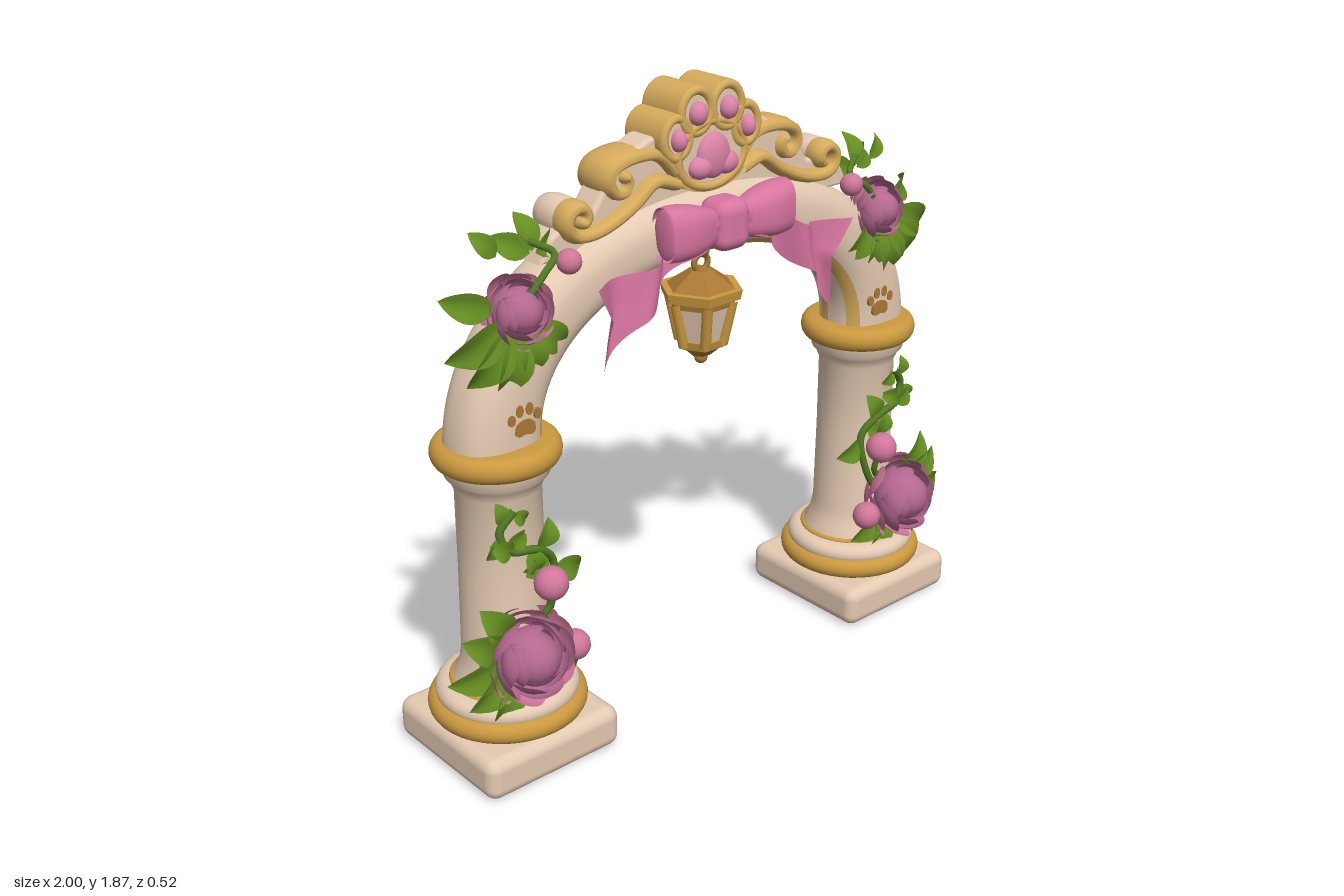
import * as THREE from 'three';
import { toCreasedNormals } from 'three/addons/utils/BufferGeometryUtils.js';
import { RoundedBoxGeometry } from 'three/addons/geometries/RoundedBoxGeometry.js';

const V = (x, y, z = 0) => new THREE.Vector3(x, y, z);
const COL = 0.715, ZC = -0.03; // pillar axis

export function createModel() {
  const root = new THREE.Group();
  const mat = (name, color, side = THREE.FrontSide) => {
    const m = new THREE.MeshStandardMaterial({ color, side });
    m.name = name;
    return m;
  };
  const cream = mat('cream stone', 0xe4cab2);
  const gold = mat('gold trim', 0xcb993f);
  const crestGold = mat('pale gold', 0xd6ab5c);
  const bronze = mat('bronze', 0xaa7834);
  const bowPink = mat('ribbon pink', 0xd8759f, THREE.DoubleSide);
  const padPink = mat('pad pink', 0xdb83a8);
  const petalDark = mat('inner petal', 0xb4688f, THREE.DoubleSide);
  const petalLight = mat('outer petal', 0xd07799, THREE.DoubleSide);
  const green = mat('leaf green', 0x658e22, THREE.DoubleSide);
  const stem = mat('stem green', 0x4f7a22);

  const add = (parent, name, geo, material, x = 0, y = 0, z = 0) => {
    const m = new THREE.Mesh(geo, material);
    m.name = name;
    m.position.set(x, y, z);
    parent.add(m);
    return m;
  };
  const group = (name) => {
    const g = new THREE.Group();
    g.name = name;
    root.add(g);
    return g;
  };
  const lathe = (pts, n = 40) =>
    toCreasedNormals(new THREE.LatheGeometry(pts.map((p) => new THREE.Vector2(...p)), n), 0.7);
  const curve = (pts, closed = false) => new THREE.CatmullRomCurve3(pts, closed);
  const tube = (pts, r, n = 40, closed = false) => new THREE.TubeGeometry(curve(pts, closed), n, r, 10, closed);
  // Grid surface from a rule f(u, v) -> Vector3
  const surface = (nu, nv, f) => {
    const g = new THREE.PlaneGeometry(1, 1, nu, nv), p = g.attributes.position;
    for (let i = 0; i < p.count; i++) {
      const q = f(p.getX(i) + 0.5, p.getY(i) + 0.5);
      p.setXYZ(i, q.x, q.y, q.z);
    }
    g.computeVertexNormals();
    return g;
  };

  // Rounded ring profile about a height
  const ringProfile = (r, y, h, bulge) => {
    const pts = [[r * 0.6, y - h]];
    for (let i = 0; i <= 8; i++) {
      const a = (i / 8 - 0.5) * Math.PI;
      pts.push([r - bulge + bulge * Math.cos(a), y + h * Math.sin(a)]);
    }
    return lathe([...pts, [r * 0.6, y + h]]);
  };

  // Pillars
  for (const s of [-1, 1]) {
    const g = group(s > 0 ? 'leftPillar' : 'rightPillar');
    g.position.set(s * COL, 0, ZC);
    add(g, 'plinth', new RoundedBoxGeometry(0.465, 0.13, 0.48, 4, 0.038), cream, 0, 0.065);
    add(g, 'baseRing', ringProfile(0.233, 0.158, 0.033, 0.03), gold);
    add(g, 'baseStep', ringProfile(0.21, 0.2, 0.033, 0.035), cream);
    add(g, 'footLine', ringProfile(0.168, 0.234, 0.008, 0.01), gold);
    add(g, 'shaft', lathe([[0.162, 0.22], [0.155, 0.25], [0.138, 0.28], [0.128, 0.33], [0.123, 0.6], [0.122, 0.84],
      [0.135, 0.87], [0.148, 0.885], [0.15, 0.925]]), cream);
    add(g, 'capitalRing', ringProfile(0.184, 0.951, 0.036, 0.03), gold);
  }

  // Arch: superelliptic sections swept along a flattened half ring
  const spow = (v, e) => Math.sign(v) * Math.abs(v) ** e;
  const path = (a) => V(0.727 * spow(Math.cos(a), 0.92), 0.955 + 0.515 * spow(Math.sin(a), 0.92));
  const archPart = (f0, f1, nf) => surface(72, nf, (u, v) => {
    const a = Math.PI * (1 - u), f = Math.PI + f0 + (f1 - f0) * v;
    const t = path(Math.min(a + 0.01, Math.PI)).sub(path(Math.max(a - 0.01, 0))).normalize();
    const r = (0.135 - 0.03 * Math.sin(a)) * spow(Math.cos(f), 0.8);
    return path(a).add(V(t.y * r, -t.x * r, ZC + 0.113 * spow(Math.sin(f), 0.8)));
  });
  // section angles run from the inner edge: positive to the back, negative to the front
  const arch = group('arch');
  add(arch, 'archBody', archPart(-0.85, 0.32 - 2 * Math.PI, 44), cream);
  add(arch, 'frontStripe', archPart(-0.42, -0.85, 6), crestGold);
  add(arch, 'archSoffit', archPart(0.08, -0.42, 6), cream);
  add(arch, 'backStripe', archPart(0.32, 0.08, 4), crestGold);

  // Painted paw prints on both faces of the arch feet
  for (const s of [-1, 1]) for (const z of [0.081, -0.141]) {
    const g = group('pawPrint');
    g.position.set(s * 0.694, 1.06, z);
    const dot = (x, y, rx, ry) => {
      const c = new THREE.CylinderGeometry(1, 1, 0.009, 20).rotateX(Math.PI / 2).scale(rx, ry, 1);
      add(g, 'pawDot', c, bronze, x, y);
    };
    dot(0, -0.015, 0.033, 0.022);
    for (const k of [-1, 1]) {
      dot(k * 0.017, -0.025, 0.017, 0.015);
      dot(k * 0.016, 0.035, 0.012, 0.018);
      dot(k * 0.043, 0.014, 0.012, 0.016);
    }
  }

  // Crest: cream backing, gold scrolls and paw emblem
  const crest = group('crest');
  const CZ = -0.02;
  const edge = [[0.57, 1.47], [0.54, 1.52], [0.49, 1.55], [0.4, 1.56], [0.355, 1.62], [0.3, 1.68], [0.2, 1.73]];
  const outline = [...edge, ...edge.map(([x, y]) => [-x, y]).reverse()].map((p) => new THREE.Vector2(...p));
  const backing = new THREE.ExtrudeGeometry(new THREE.Shape(outline), { depth: 0.07, bevelSize: 0.012, bevelThickness: 0.015, bevelSegments: 3 });
  add(crest, 'backing', backing, cream, 0, 0, CZ - 0.035);
  for (const s of [-1, 1]) {
    // a swept stem that ends in a spiral curl about (cx, cy)
    const scroll = (name, stemPts, cx, cy, from, turn, r, depth, z, m) => {
      const c = stemPts.map(([x, y]) => V(s * x, y));
      for (let i = 0; i <= 9; i++) {
        const a = from + turn * i / 9, d = 0.05 - 0.0036 * i;
        c.push(V(s * (cx + d * Math.cos(a)), cy + d * Math.sin(a)));
      }
      add(crest, name, tube(c, r, 70).scale(1, 1, depth / r), m, 0, 0, z);
      const e = c[c.length - 1];
      add(crest, 'scrollEnd', new THREE.SphereGeometry(r, 16, 12).scale(1, 1, depth / r), m, e.x, e.y, z);
    };
    scroll('upperScroll', [[0.12, 1.63], [0.18, 1.69], [0.25, 1.7]], 0.31, 1.64, 1.5, -5.4, 0.024, 0.082, CZ, crestGold);
    const lowerStem = [[0.12, 1.6], [0.2, 1.62], [0.27, 1.575], [0.34, 1.54], [0.41, 1.52]];
    scroll('lowerScroll', lowerStem, 0.463, 1.57, -1.5, 5.4, 0.021, 0.045, 0.025, crestGold);
    scroll('lowerScrollCore', lowerStem, 0.463, 1.57, -1.5, 5.4, 0.0215, 0.07, CZ - 0.015, cream);
  }
  // pad: gold body and raised rim, cream face, domed pink cushion on both sides
  const oval = (name, x, y, rx, ry, half, m) =>
    add(crest, name, new THREE.CylinderGeometry(1, 1, half * 2, 36).rotateX(Math.PI / 2).scale(rx, ry, 1), m, x, y, CZ);
  const cushion = (x, y, rx, ry, z) =>
    add(crest, 'pawPad', new THREE.SphereGeometry(1, 24, 14).scale(rx, ry, 0.03), padPink, x, y, CZ + z);
  const pawPad = (x, y, rx, ry, px, py) => {
    const t = 0.014;
    oval('pawBody', x, y, rx, ry, 0.072, crestGold);
    oval('pawFace', x, y, rx - 2 * t, ry - 2 * t, 0.078, cream);
    const ring = Array.from({ length: 24 }, (_, i) => i * Math.PI / 12)
      .map((a) => V((rx - t) * Math.cos(a), (ry - t) * Math.sin(a)));
    for (const k of [-1, 1]) {
      add(crest, 'pawRim', tube(ring, t, 48, true), crestGold, x, y, CZ + k * 0.072);
      cushion(x, y - 0.004, px, py, k * 0.08);
    }
  };
  oval('pawBase', 0, 1.62, 0.125, 0.06, 0.077, crestGold);
  pawPad(0, 1.668, 0.138, 0.108, 0.06, 0.066);
  for (const s of [-1, 1]) {
    pawPad(s * 0.057, 1.796, 0.068, 0.074, 0.03, 0.034);
    pawPad(s * 0.128, 1.732, 0.06, 0.07, 0.024, 0.032);
    for (const k of [-1, 1]) cushion(s * 0.048, 1.637, 0.042, 0.034, k * 0.081);
  }

  // Ribbon bow with two notched tails
  const bow = group('bow');
  add(bow, 'knot', new RoundedBoxGeometry(0.12, 0.15, 0.12, 4, 0.04), bowPink, 0, 1.48, 0.11);
  for (const s of [-1, 1]) {
    const loop = surface(32, 12, (u, v) => {
      const a = u * Math.PI * 2, h = 0.045 + 0.035 * Math.sin(v * 1.9);
      return V(s * (0.035 + 0.195 * v), 1.48 + 0.01 * v + h * spow(Math.cos(a), 0.7),
        0.115 + (0.025 + 0.035 * Math.sin(v * 2.4)) * spow(Math.sin(a), 0.8));
    });
    add(bow, 'bowLoop', loop, bowPink);
    add(bow, 'loopFold', new THREE.SphereGeometry(1, 24, 12).scale(0.012, 0.074, 0.045), bowPink, s * 0.221, 1.49, 0.115);
    const upper = curve([V(0.05, 1.51), V(0.18, 1.49), V(0.27, 1.43), V(0.36, 1.4), V(0.485, 1.4)]);
    const lower = curve([V(0.05, 1.44), V(0.17, 1.4), V(0.25, 1.31), V(0.35, 1.25), V(0.44, 1.12)]);
    add(bow, 'bowTail', surface(40, 10, (u, v) => {
      const k = u - 0.1 * u ** 6 * (1 - Math.abs(2 * v - 1));
      const p = lower.getPoint(k).lerp(upper.getPoint(k), v);
      return V(s * p.x, p.y, 0.122 + 0.033 * Math.sin(12 * u + 1.5 * v));
    }), bowPink);
  }

  // Hanging lantern
  const lantern = group('lantern');
  lantern.position.z = 0.01;
  for (let i = 0; i < 3; i++)
    add(lantern, 'chainLink', new THREE.TorusGeometry(0.026, 0.009, 8, 20).rotateY(i % 2 ? Math.PI / 2 : 0), bronze, 0, 1.335 + 0.05 * i);
  const hex = (name, r1, r0, y0, y1, m) =>
    add(lantern, name, toCreasedNormals(new THREE.CylinderGeometry(r1, r0, y1 - y0, 6).rotateY(Math.PI / 6), 0.4), m, 0, (y0 + y1) / 2);
  hex('roofCap', 0.035, 0.062, 1.295, 1.315, bronze);
  hex('roof', 0.062, 0.108, 1.262, 1.296, bronze);
  hex('eave', 0.128, 0.122, 1.235, 1.264, gold);
  hex('upperRim', 0.106, 0.102, 1.212, 1.237, bronze);
  hex('lampGlass', 0.1, 0.066, 1.095, 1.225, cream);
  hex('lampRim', 0.079, 0.07, 1.08, 1.107, gold);
  hex('lampFoot', 0.064, 0.03, 1.05, 1.081, bronze);
  add(lantern, 'finial', new THREE.SphereGeometry(0.02, 14, 10), bronze, 0, 1.04);
  for (let i = 0; i < 6; i++) {
    const a = (i + 0.5) * Math.PI / 3, c = Math.sin(a), d = Math.cos(a);
    add(lantern, 'lampBar', tube([V(0.067 * c, 1.09, 0.067 * d), V(0.098 * c, 1.23, 0.098 * d)], 0.016, 2), gold);
  }

  // Leaf: a folded, arched blade from base to tip
  const leaf = (g, base, tip, w) => {
    const d = tip.clone().sub(base), len = d.length();
    const side = V(0, 0, 1).cross(d).normalize(), n = d.clone().cross(side).normalize();
    add(g, 'leaf', surface(4, 8, (u, t) => base.clone().addScaledVector(d, t)
      .addScaledVector(side, (2 * u - 1) * w * Math.abs(Math.sin(Math.PI * t ** 0.8)) ** 0.8)
      .addScaledVector(n, (Math.abs(2 * u - 1) * w * 0.35 + 0.16 * len) * Math.sin(Math.PI * t))), green);
  };
  // Rose: closed inner rows and open outer rows of cupped petals about the facing axis
  const rose = (g, pos, face, R) => {
    const r = new THREE.Group();
    r.name = 'rose';
    r.position.copy(pos);
    r.quaternion.setFromUnitVectors(V(0, 0, 1), face.normalize());
    g.add(r);
    add(r, 'roseHeart', new THREE.SphereGeometry(R * 0.5, 16, 12), petalDark);
    for (let row = 0; row < 5; row++) {
      const k = 0.55 + 0.13 * row, end = 2.6 - 0.34 * row, n = 4 + Math.ceil(row * 0.5);
      for (let i = 0; i < n; i++) {
        const a0 = (i + row * 0.43) / n * Math.PI * 2;
        add(r, 'petal', surface(10, 8, (u, v) => {
          const x = 2 * u - 1, e = v * (end - 0.35 * x * x), a = a0 + x * 3.8 / n * (1 - 0.3 * v ** 5);
          const rad = R * k * Math.sin(e) * (1 + 0.06 * x);
          return V(rad * Math.cos(a), rad * Math.sin(a), -R * k * 0.8 * Math.cos(e));
        }), row < 3 ? petalDark : petalLight);
      }
    }
  };

  // Flower arrangements, mirrored left and right
  for (const s of [-1, 1]) {
    const g = group(s > 0 ? 'leftFlowers' : 'rightFlowers');
    const P = (x, y, z) => V(s * x, y, z);
    // leaves fanned about a centre; angles in degrees from the outer side
    const fan = (x, y, z, r0, r1, drop, w, angles) => angles.forEach((deg) => {
      const c = Math.cos(deg * Math.PI / 180), d = Math.sin(deg * Math.PI / 180);
      leaf(g, P(x + r0 * c, y + r0 * d, z), P(x + r1 * c, y + r1 * d, z - drop), w);
    });
    const bud = (x, y, z, r) => add(g, 'bud', new THREE.SphereGeometry(r, 16, 12), petalLight, s * x, y, z);
    rose(g, P(0.76, 0.39, 0.175), P(0.12, 0.25, 1), 0.145);
    rose(g, P(0.685, 1.37, 0.08), P(0.1, 0.25, 1), 0.108);
    fan(0.755, 0.385, 0.11, 0.08, 0.225, 0, 0.048, [27, 53, 215, 244, 298, 326]);
    fan(0.755, 0.385, 0.11, 0.08, 0.245, 0.015, 0.048, [-6]);
    fan(0.685, 1.37, 0.07, 0.06, 0.245, 0.03, 0.055, [-23, -49, -75]);
    fan(0.685, 1.37, 0.075, 0.06, 0.2, 0.02, 0.045, [-100, -135]);
    fan(0.685, 1.37, 0.05, 0.07, 0.195, 0.08, 0.042, [14]);
    fan(0.61, 1.5, 0.03, 0.01, 0.105, 0.07, 0.036, [30, 85, 165]);
    fan(0.7, 1.5, 0, 0.01, 0.1, 0.04, 0.03, [50]);
    bud(0.668, 0.58, 0.14, 0.05);
    bud(0.6, 0.36, 0.15, 0.045);
    bud(0.535, 1.48, 0.09, 0.035);
    const vine = [V(0.73, 0.35, 0.1), V(0.64, 0.5, 0.1), V(0.625, 0.62, 0.09), V(0.69, 0.68, 0.105),
      V(0.77, 0.7, 0.1), V(0.8, 0.76, 0.09), V(0.755, 0.82, 0.1)];
    add(g, 'vine', tube(vine.map((p) => P(p.x, p.y, p.z)), 0.012), stem);
    for (let i = 0; i < 9; i++) {
      const p = curve(vine).getPoint(0.3 + 0.085 * i);
      fan(p.x, p.y, p.z, 0.005, 0.105 - 0.005 * i, 0.01, 0.04 - 0.002 * i, [200 + 137 * i]);
    }
    add(g, 'budStem', tube([P(0.73, 0.42, 0.1), P(0.66, 0.5, 0.12), P(0.668, 0.57, 0.14)], 0.01, 12), stem);
    add(g, 'upperVine', tube([P(0.68, 1.38, 0.07), P(0.61, 1.46, 0.08), P(0.56, 1.5, 0.06), P(0.62, 1.54, 0.02)], 0.01, 24), stem);
  }
  return root;
}
